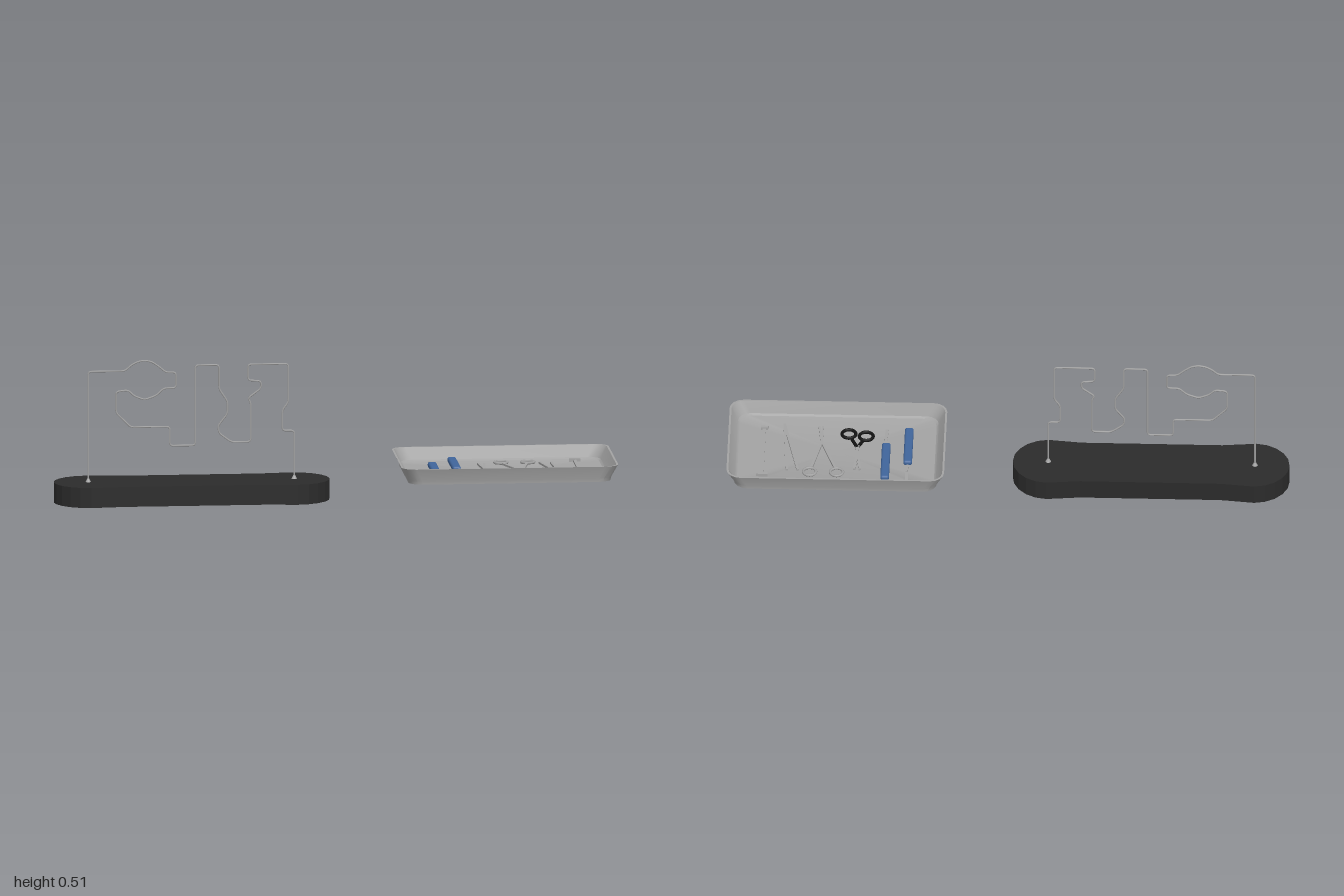
import * as THREE from 'three';
import { toCreasedNormals } from 'three/addons/utils/BufferGeometryUtils.js';
import { RoundedBoxGeometry } from 'three/addons/geometries/RoundedBoxGeometry.js';

const material = (name, color) => Object.assign(new THREE.MeshStandardMaterial({ color }), { name });
const FLOOR = 0.092; // height of the inside of the tray
const WIRE_Z = -0.009;

function add(parent, name, geometry, mat, x = 0, y = 0, z = 0) {
  const mesh = new THREE.Mesh(geometry, mat);
  mesh.name = name;
  mesh.position.set(x, y, z);
  parent.add(mesh);
  return mesh;
}

// Bar with round ends and a waisted joint to the straight middle
function baseGeometry() {
  const pts = [];
  for (const side of [1, -1]) {
    const cx = side * 0.364, r = 0.128;
    pts.push([cx - side * 0.115, -side * 0.115]);
    for (let i = 0; i <= 12; i++) {
      const a = THREE.MathUtils.degToRad(-105 + i * 17.5);
      pts.push([cx + side * r * Math.cos(a), side * r * Math.sin(a)]);
    }
    pts.push([cx - side * 0.115, side * 0.115]);
  }
  const shape = new THREE.Shape(pts.map(p => new THREE.Vector2(...p)));
  return new THREE.ExtrudeGeometry(shape, { depth: 0.072, bevelEnabled: false }).rotateX(-Math.PI / 2);
}

// Polyline with small rounded corners, as a tube
function wireGeometry(points, radius) {
  const path = new THREE.CurvePath();
  let last = points[0];
  for (let i = 1; i < points.length - 1; i++) {
    const p = points[i];
    const towards = q => {
      const d = p.distanceTo(q);
      return p.clone().lerp(q, Math.min(0.012, d * 0.4) / d);
    };
    const a = towards(points[i - 1]), b = towards(points[i + 1]);
    path.add(new THREE.LineCurve3(last, a));
    path.add(new THREE.QuadraticBezierCurve3(a, p, b));
    last = b;
  }
  path.add(new THREE.LineCurve3(last, points[points.length - 1]));
  return new THREE.TubeGeometry(path, 700, radius, 6);
}

// Rounded-rectangle loops: [half width, half depth, corner radius, height]
function trayGeometry(loops) {
  const pos = [], index = [], per = 4, n = 4 * (per + 1);
  for (const [hx, hz, r, y] of loops) {
    for (let c = 0; c < 4; c++) {
      const sx = c === 0 || c === 3 ? 1 : -1, sz = c < 2 ? -1 : 1;
      for (let i = 0; i <= per; i++) {
        const a = (c + i / per) * Math.PI / 2;
        pos.push(sx * (hx - r) + r * Math.cos(a), y, sz * (hz - r) - r * Math.sin(a));
      }
    }
  }
  for (let l = 0; l < loops.length - 1; l++) {
    for (let j = 0; j < n; j++) {
      const a = l * n + j, b = l * n + (j + 1) % n;
      index.push(a, b, b + n, a, b + n, a + n);
    }
  }
  const g = new THREE.BufferGeometry();
  g.setAttribute('position', new THREE.Float32BufferAttribute(pos, 3));
  g.setIndex(index);
  return toCreasedNormals(g, 0.5);
}

export function createModel() {
  const model = new THREE.Group();
  const black = material('matte black', 0x2b2b2b);
  const steel = material('steel', 0xa3a3a3);
  const blue = material('blue plastic', 0x40659b);
  const rubber = material('black rubber', 0x121212);

  // Wire game
  const game = new THREE.Group();
  game.name = 'wireGame';
  model.add(game);
  add(game, 'base', baseGeometry(), black, -0.508, 0, WIRE_Z);
  for (const x of [-0.877, -0.142]) {
    add(game, 'wireSocket', new THREE.CylinderGeometry(0.004, 0.01, 0.012, 12), steel, x, 0.078, WIRE_Z);
  }
  const route = [
    [-0.877, 0.07], [-0.877, 0.47], [-0.746, 0.47], [-0.725, 0.49], [-0.7, 0.503], [-0.676, 0.507],
    [-0.65, 0.502], [-0.623, 0.483], [-0.6, 0.463], [-0.564, 0.463], [-0.564, 0.406], [-0.607, 0.406],
    [-0.634, 0.38], [-0.676, 0.365], [-0.714, 0.38], [-0.735, 0.401], [-0.778, 0.396], [-0.778, 0.32],
    [-0.725, 0.267], [-0.586, 0.267], [-0.586, 0.198], [-0.495, 0.198], [-0.495, 0.487], [-0.41, 0.487],
    [-0.41, 0.4], [-0.38, 0.355], [-0.38, 0.31], [-0.414, 0.267], [-0.41, 0.24], [-0.366, 0.208],
    [-0.297, 0.208], [-0.297, 0.348], [-0.307, 0.365], [-0.26, 0.4], [-0.26, 0.426], [-0.307, 0.43],
    [-0.307, 0.487], [-0.163, 0.487], [-0.163, 0.348], [-0.184, 0.32], [-0.184, 0.246], [-0.142, 0.246],
    [-0.142, 0.07],
  ].map(([x, y]) => new THREE.Vector3(x, y, WIRE_Z));
  add(game, 'bentWire', wireGeometry(route, 0.0033), steel);

  // Tray
  const tray = new THREE.Group();
  tray.name = 'instrumentTray';
  model.add(tray);
  add(tray, 'tray', trayGeometry([
    [0, 0, 0, 0.083], [0.361, 0.219, 0.05, 0.083], [0.364, 0.22, 0.05, 0.095], [0.387, 0.2335, 0.05, 0.14],
    [0.38, 0.2265, 0.045, 0.14], [0.357, 0.212, 0.045, 0.097], [0.35, 0.204, 0.045, FLOOR], [0, 0, 0, FLOOR],
  ]), steel, 0.61, 0, 0);

  // Instruments lying on the tray floor
  const tool = name => {
    const g = new THREE.Group();
    g.name = name;
    tray.add(g);
    return g;
  };
  const bar = (parent, name, x1, z1, x2, z2, width, mat = steel, height = 0.007) => {
    const len = Math.hypot(x2 - x1, z2 - z1);
    const m = add(parent, name, new THREE.BoxGeometry(width, height, len), mat,
      (x1 + x2) / 2, FLOOR + height / 2, (z1 + z2) / 2);
    m.rotation.y = Math.atan2(x2 - x1, z2 - z1);
  };
  const ring = (parent, x, z, r, tube, mat) => add(parent, 'fingerRing',
    new THREE.TorusGeometry(r, tube, 6, 16).rotateX(Math.PI / 2), mat, x, FLOOR + tube, z);

  // Two blue-handled scalpels, laid in opposite directions
  for (const [x, z, dir] of [[0.356, 0.022, -1], [0.435, -0.07, 1]]) {
    const scalpel = tool('scalpel');
    add(scalpel, 'handle', new RoundedBoxGeometry(0.031, 0.02, 0.206, 2, 0.008), blue, x, FLOOR + 0.011, z);
    bar(scalpel, 'neck', x, z + dir * 0.1, x + 0.003, z + dir * 0.14, 0.008);
    bar(scalpel, 'blade', x + 0.003, z + dir * 0.14, x, z + dir * 0.2, 0.011, steel, 0.004);
  }

  // Scissors with black finger rings
  const scissors = tool('scissors');
  ring(scissors, 0.508, 0.085, 0.025, 0.006, rubber);
  ring(scissors, 0.57, 0.097, 0.025, 0.006, rubber);
  bar(scissors, 'shank', 0.519, 0.062, 0.538, 0.02, 0.01, rubber);
  bar(scissors, 'shank', 0.56, 0.072, 0.538, 0.02, 0.01, rubber);
  bar(scissors, 'blade', 0.535, 0.03, 0.545, -0.11, 0.009);
  bar(scissors, 'blade', 0.541, 0.03, 0.525, -0.11, 0.009);

  // Clamp with steel finger rings
  const clamp = tool('clamp');
  for (const s of [-1, 1]) {
    ring(clamp, 0.655 + s * 0.048, -0.13, 0.023, 0.005, steel);
    bar(clamp, 'shank', 0.655 + s * 0.043, -0.107, 0.665, 0.05, 0.009);
    bar(clamp, 'jaw', 0.665, 0.04, 0.67 - s * 0.006, 0.14, 0.007);
  }

  // Open tweezers
  const tweezers = tool('tweezers');
  bar(tweezers, 'arm', 0.8, 0.15, 0.745, -0.12, 0.009);
  bar(tweezers, 'arm', 0.8, 0.15, 0.785, -0.12, 0.009);

  // Flat retractor with hooked ends
  const retractor = tool('retractor');
  bar(retractor, 'stem', 0.872, -0.15, 0.872, 0.125, 0.012);
  bar(retractor, 'hook', 0.852, -0.152, 0.892, -0.152, 0.01, steel, 0.011);
  bar(retractor, 'hook', 0.858, 0.125, 0.884, 0.125, 0.01, steel, 0.011);

  return model;
}
